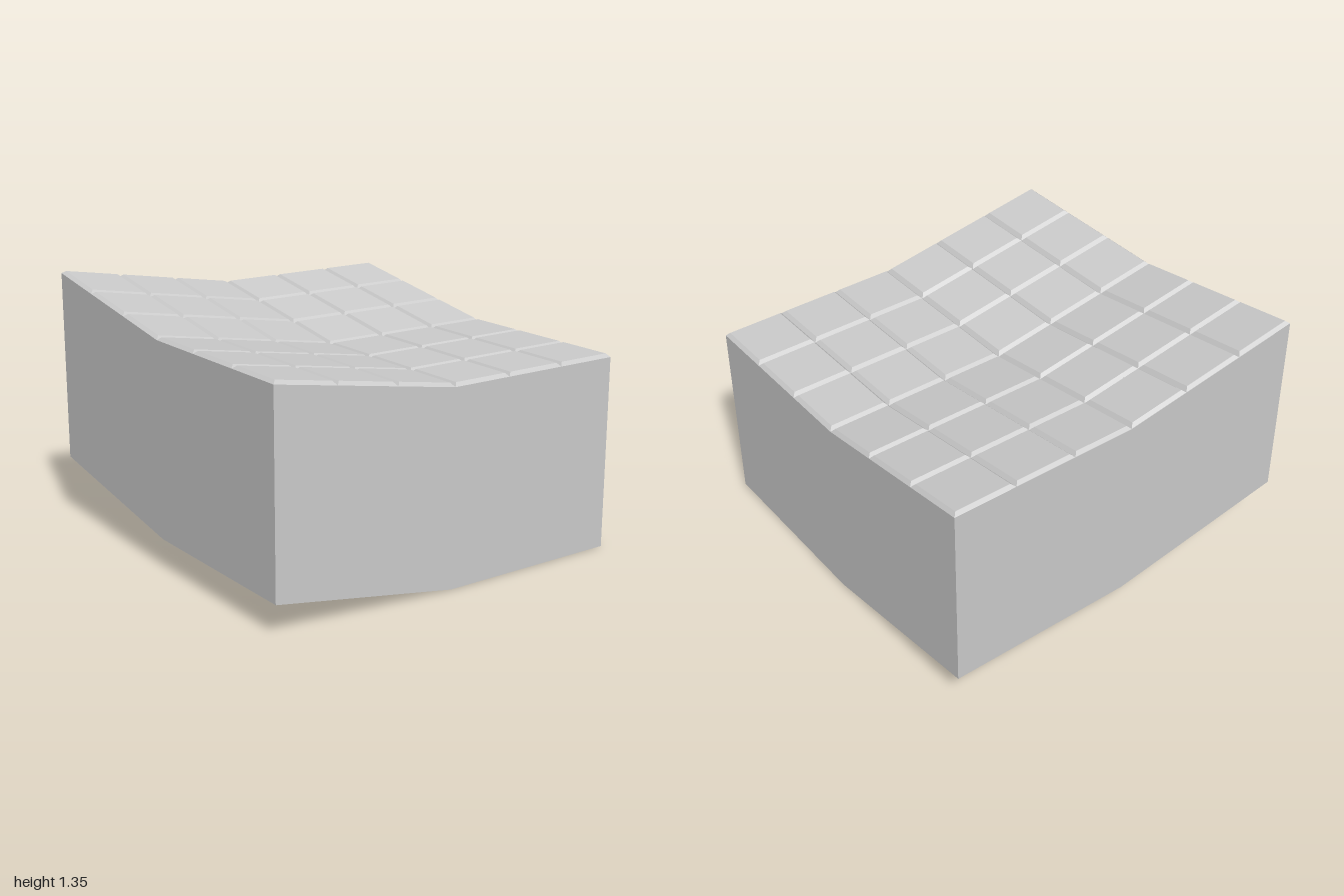
import * as THREE from 'three';

const CELLS = 6, CELL = 2 / CELLS, BEVEL = 0.018, SLOPE = 1 / 6;

// Ground rise: slopes up towards -x and towards +z, level elsewhere
const rise = (x, z) => SLOPE * (Math.max(0, -x) + Math.max(0, z));

// Shears a geometry vertically so it follows the rise
function followRise(geometry) {
  const p = geometry.attributes.position;
  for (let i = 0; i < p.count; i++) p.setY(i, p.getY(i) + rise(p.getX(i), p.getZ(i)));
  geometry.computeVertexNormals();
  return geometry;
}

export function createModel() {
  const model = new THREE.Group();
  model.name = 'slopedTileBlock';
  const material = new THREE.MeshStandardMaterial({ color: 0xcccccc, flatShading: true });

  // Solid block, one unit thick, folded along its two centre lines
  const block = new THREE.Mesh(
    followRise(new THREE.BoxGeometry(2, 1, 2, 2, 1, 2).translate(0, 0.5, 0)), material);
  block.name = 'block';
  model.add(block);

  // Bevelled square tiles covering the top
  const tiles = new THREE.Group();
  tiles.name = 'tiles';
  const bottomRadius = CELL * Math.SQRT1_2;
  const topRadius = (CELL - 2 * BEVEL) * Math.SQRT1_2;
  for (let i = 0; i < CELLS; i++) {
    for (let j = 0; j < CELLS; j++) {
      const geometry = new THREE.CylinderGeometry(topRadius, bottomRadius, BEVEL, 4)
        .rotateY(Math.PI / 4)
        .translate(-1 + (i + 0.5) * CELL, 1 + BEVEL / 2, -1 + (j + 0.5) * CELL);
      const tile = new THREE.Mesh(followRise(geometry), material);
      tile.name = 'tile';
      tiles.add(tile);
    }
  }
  model.add(tiles);
  return model;
}
